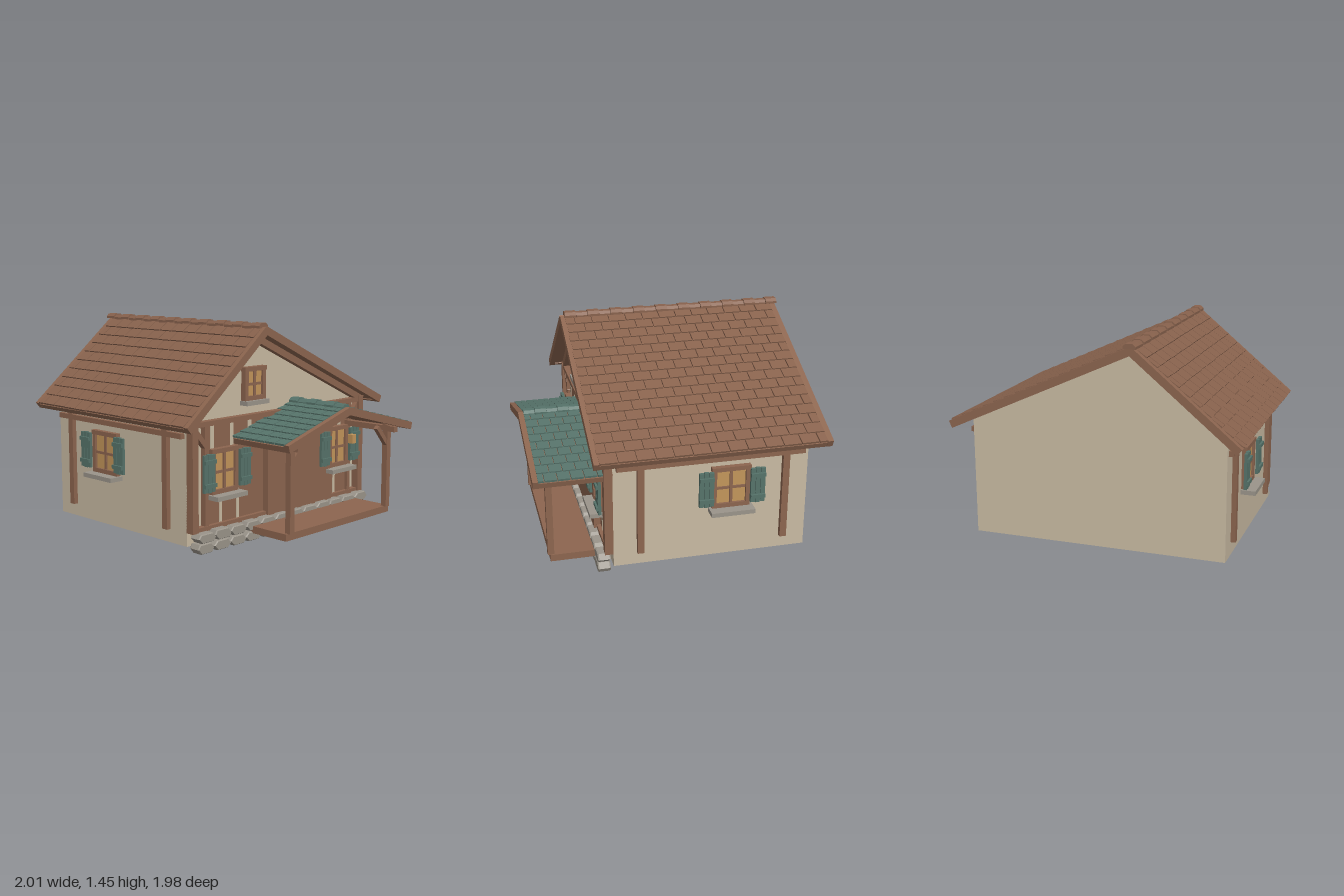
import * as THREE from 'three';
import { mergeGeometries } from 'three/addons/utils/BufferGeometryUtils.js';

const mat = (name, color) => {
  const m = new THREE.MeshStandardMaterial({ color });
  m.name = name;
  return m;
};

export function createModel() {
  const M = {
    plaster: mat('plaster', 0xc8baa2), wood: mat('wood', 0x8c654f), roof: mat('roof tile', 0x88624d),
    green: mat('green paint', 0x56736a), stone: mat('stone', 0x9a948a), glass: mat('warm glass', 0xc2955a),
  };
  const house = new THREE.Group();
  house.name = 'house';
  let seed = 7;
  const rand = () => (seed = (seed * 16807) % 2147483647) / 2147483647;

  const add = (name, geo, m, parent = house) => {
    const mesh = new THREE.Mesh(geo, m);
    mesh.name = name;
    parent.add(mesh);
    return mesh;
  };
  const group = (name, parent = house) => {
    const g = new THREE.Group();
    g.name = name;
    parent.add(g);
    return g;
  };
  // box given by its min and max on each axis
  const block = (name, x0, x1, y0, y1, z0, z1, m, parent = house) => {
    const b = add(name, new THREE.BoxGeometry(x1 - x0, y1 - y0, z1 - z0), m, parent);
    b.position.set((x0 + x1) / 2, (y0 + y1) / 2, (z0 + z1) / 2);
    return b;
  };
  // sloping beam between two points in the xy plane
  const beam = (name, ax, ay, bx, by, h, z0, z1, m, parent = house) => {
    const b = add(name, new THREE.BoxGeometry(Math.hypot(bx - ax, by - ay), h, z1 - z0), m, parent);
    b.position.set((ax + bx) / 2, (ay + by) / 2, (z0 + z1) / 2);
    b.rotation.z = Math.atan2(by - ay, bx - ax);
    return b;
  };

  // plastered body with an off-centre gable
  const wall = new THREE.Shape([[-0.88, 0.04], [0.88, 0.04], [0.88, 0.85], [-0.28, 1.38], [-0.88, 0.87]]
    .map(p => new THREE.Vector2(...p)));
  add('walls', new THREE.ExtrudeGeometry(wall, { depth: 1.33, bevelEnabled: false }), M.plaster).position.z = -0.85;

  // boarded front with plaster strips
  block('frontBoards', -0.75, 0.75, 0.14, 0.83, 0.475, 0.497, M.wood);
  for (const x of [-0.67, -0.49, -0.32, -0.13, 0.064, 0.257, 0.45, 0.64])
    block('upperStrip', x - 0.016, x + 0.016, 0.66, 0.825, 0.494, 0.501, M.plaster);
  for (const x of [-0.594, -0.435, 0.588])
    block('lowerStrip', x - 0.012, x + 0.012, 0.155, 0.36, 0.494, 0.501, M.plaster);
  block('doorPanel', -0.18, 0.51, 0.13, 0.67, 0.49, 0.543, M.wood);

  // front timber frame
  block('sillBeam', -0.86, 0.86, 0.128, 0.158, 0.48, 0.525, M.wood);
  block('tieBeam', -0.86, 0.86, 0.815, 0.848, 0.48, 0.53, M.wood);
  beam('rakeBeamLeft', -0.28, 1.355, -0.85, 0.845, 0.048, 0.475, 0.53, M.wood);
  beam('rakeBeamRight', -0.28, 1.355, 0.85, 0.845, 0.045, 0.475, 0.53, M.wood);
  for (const s of [-1, 1]) {
    block('cornerPost', s * 0.855 - 0.025, s * 0.855 + 0.025, 0.13, 0.86, 0.475, 0.537, M.wood);
    block('innerPost', s * 0.738 - 0.016, s * 0.738 + 0.016, 0.14, 0.82, 0.48, 0.52, M.wood);
    beam('cornerBrace', s * 0.84, 0.8, s * 0.73, 0.67, 0.035, 0.48, 0.52, M.wood);
    // side timbers
    const x0 = Math.min(s * 0.875, s * 0.912), x1 = Math.max(s * 0.875, s * 0.912);
    for (const z of [0.3, -0.69]) block('sidePost', x0, x1, 0.13, 0.82, z - 0.023, z + 0.023, M.wood);
    block('sideRail', x0, x1 + 0.002, 0.745, 0.78, -0.82, 0.46, M.wood);
  }

  // window facing +z, centred on x with its foot at y = 0
  const makeWindow = (w, h, shutters, parent) => {
    const g = group('window', parent), a = w / 2, f = 0.03;
    block('pane', -a + f, a - f, f, h - f, 0, 0.028, M.glass, g);
    for (const s of [-1, 1]) block('frameSide', s * (a - f / 2) - f / 2, s * (a - f / 2) + f / 2, 0, h, 0, 0.045, M.wood, g);
    block('frameTop', -a - 0.004, a + 0.004, h - f, h, 0, 0.049, M.wood, g);
    block('frameFoot', -a, a, 0, f, 0, 0.045, M.wood, g);
    block('mullion', -0.01, 0.01, f, h - f, 0, 0.038, M.wood, g);
    block('crossBar', -a + f, a - f, h * 0.48 - 0.009, h * 0.48 + 0.009, 0, 0.037, M.wood, g);
    const e = shutters ? 0.02 : 0.01;
    block('windowSill', -a - e, a + e, -0.03, 0, 0, shutters ? 0.115 : 0.07, M.stone, g);
    if (shutters) for (const s of [-1, 1]) {
      const sh = group('shutter', g);
      sh.position.set(s * (a + 0.046), 0.03, 0.05);
      for (const i of [-1, 0, 1])
        block('slat', i * 0.034 - 0.0155, i * 0.034 + 0.0155, i ? 0 : -0.004, i ? 0.245 : 0.249, 0, 0.02, M.green, sh);
      for (const y of [0.045, 0.2]) block('batten', -0.05, 0.05, y - 0.013, y + 0.013, 0.008, 0.034, M.green, sh);
    }
    return g;
  };
  for (const s of [-1, 1]) {
    makeWindow(0.24, 0.3, true).position.set(s * 0.585, 0.36, 0.492);
    const side = makeWindow(0.26, 0.295, true);
    side.position.set(s * 0.867, 0.405, -0.312);
    side.rotation.y = s * Math.PI / 2;
  }
  makeWindow(0.2, 0.225, false).position.set(-0.28, 0.94, 0.475);

  // two courses of rough stones along the front
  const footing = group('stoneFooting');
  for (const [y, shift] of [[0.003, 0], [0.073, 0.006]]) for (let i = 0; i < 12; i++) {
    const w = 0.132 + rand() * 0.012, h = 0.05 + rand() * 0.007, c = 0.02 + rand() * 0.018, k = 0.01 + rand() * 0.02;
    const shape = new THREE.Shape([[c, 0], [w - k, 0], [w, h * 0.45], [w - c, h], [k, h], [0, h * 0.55]]
      .map(p => new THREE.Vector2(...p)));
    const geo = new THREE.ExtrudeGeometry(shape, { depth: 0.07, bevelThickness: 0.008, bevelSize: 0.005, bevelSegments: 1 });
    add('stone', geo, M.stone, footing).position.set(-0.872 + i * 0.1465 + shift, y + 0.003, 0.507);
  }

  // tiled gable roof: deck, tile courses, barge boards, fascias and ridge caps
  const makeRoof = (name, o) => {
    const roof = group(name), L = o.z1 - o.z0;
    for (const [s, ex, ey, rows] of [[-1, ...o.left], [1, ...o.right]]) {
      const slope = group('slope', roof), len = Math.hypot(ex - o.x, ey - o.y), step = (len - 0.01) / rows;
      slope.position.set(o.x, o.y, 0);
      slope.rotation.z = Math.atan2(s * (ey - o.y), s * (ex - o.x));
      const run = (n, a, b, y0, y1, z0, z1, m) => block(n, Math.min(s * a, s * b), Math.max(s * a, s * b), y0, y1, z0, z1, m, slope);
      run('deck', 0, len - 0.01, -0.018, 0.01, o.z0, o.z1, M.wood);
      run('fascia', len - 0.03, len, -0.026, 0.012, o.z0 + 0.005, o.z1 - 0.005, M.wood);
      for (const [z0, z1] of o.barges) run('bargeBoard', -0.005, len, -0.027, 0.025, z0, z1, M.wood);
      const tiles = [];
      for (let r = 0; r < rows; r++) for (let z = o.z0 - (r % 2) * o.tile / 2; z < o.z1 - 0.01; z += o.tile) {
        const a = Math.max(z, o.z0), b = Math.min(z + o.tile, o.z1);
        if (b - a < 0.01) continue;
        const t = new THREE.BoxGeometry(step + 0.012 + rand() * 0.006, 0.014, b - a - 0.006);
        t.rotateZ(s * 0.1);
        t.translate(s * (r + 0.53) * step, 0.021, (a + b) / 2);
        tiles.push(t);
      }
      add('tiles', mergeGeometries(tiles), o.mat, slope);
    }
    const caps = [], n = Math.round((L + o.over) / 0.082), d = (L + o.over) / n;
    for (let i = 0; i < n; i++) {
      const w = i % 2 ? 0.036 : 0.043, lift = i % 2 ? 0 : 0.006;
      const shape = new THREE.Shape([[-w, -0.014], [w, -0.014], [w, 0.002], [w * 0.55, 0.02], [-w * 0.55, 0.02], [-w, 0.002]]
        .map(p => new THREE.Vector2(...p)));
      const c = new THREE.ExtrudeGeometry(shape, { depth: d - 0.002, bevelEnabled: false });
      c.translate(o.x, o.y + 0.022 + lift, o.z0 - o.over + i * d);
      caps.push(c);
    }
    add('ridgeCaps', mergeGeometries(caps), o.mat, roof);
  };
  makeRoof('mainRoof', {
    x: -0.28, y: 1.408, left: [-0.985, 0.825, 10], right: [0.985, 0.83, 16], z0: -0.94, z1: 0.59,
    barges: [[-0.978, -0.938], [0.58, 0.618]], tile: 0.122, mat: M.roof, over: 0.05,
  });
  makeRoof('porchRoof', {
    x: 0.14, y: 0.868, left: [-0.475, 0.69, 8], right: [0.858, 0.685, 9], z0: 0.485, z1: 0.957,
    barges: [[0.95, 0.99]], tile: 0.086, mat: M.green, over: 0,
  });

  // porch
  const porch = group('porch');
  block('porchFloor', -0.375, 0.745, 0.052, 0.1, 0.5, 0.882, M.wood, porch);
  for (const [x, s] of [[-0.333, 1], [0.715, -1]]) {
    block('porchPost', x - 0.021, x + 0.021, 0.098, 0.7, 0.855, 0.898, M.wood, porch);
    block('porchBeam', x - 0.02, x + 0.02, 0.65, 0.69, 0.51, 0.955, M.wood, porch);
    beam('porchBrace', x, 0.55, x + s * 0.125, 0.69, 0.032, 0.86, 0.893, M.wood, porch);
  }
  block('lantern', 0.542, 0.582, 0.555, 0.62, 0.663, 0.703, M.glass, porch);
  return house;
}
